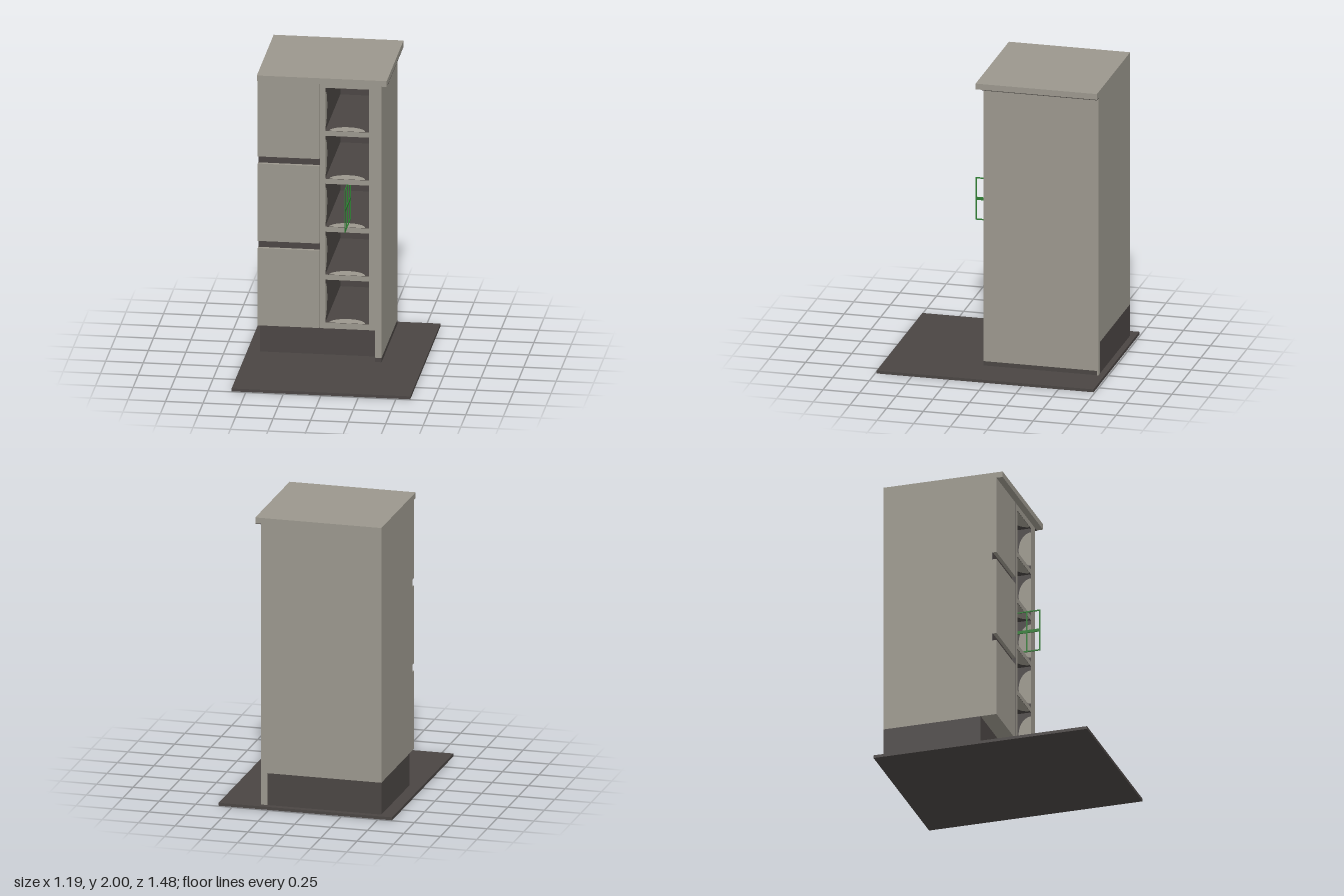
import * as THREE from 'three';

export function createModel() {
  const model = new THREE.Group();
  const grey = new THREE.MeshStandardMaterial({ color: 0x9b978d });
  const dark = new THREE.MeshStandardMaterial({ color: 0x4a4543 });
  const green = new THREE.MeshStandardMaterial({ color: 0x2e7d32 });
  grey.name = 'warmGrey';
  dark.name = 'charcoal';
  green.name = 'rackGreen';

  // Box given by its lower and upper limits on each axis
  const box = (name, mat, [x0, x1], [y0, y1], [z0, z1], parent = model) => {
    const mesh = new THREE.Mesh(new THREE.BoxGeometry(x1 - x0, y1 - y0, z1 - z0), mat);
    mesh.position.set((x0 + x1) / 2, (y0 + y1) / 2, (z0 + z1) / 2);
    mesh.name = name;
    parent.add(mesh);
    return mesh;
  };

  const front = 0.085, back = -0.7;

  // Floor, plinth, worktop and outer panels
  box('floorPlate', dark, [-0.595, 0.595], [0, 0.02], [-0.74, 0.74]);
  box('plinth', dark, [-0.51, 0.27], [0.02, 0.24], [back, -0.025]);
  box('worktop', grey, [-0.51, 0.355], [1.96, 2], [back, 0.128]);
  box('worktopUnderside', dark, [0.315, 0.355], [1.956, 1.96], [back, front]);
  box('sidePanel', grey, [0.27, 0.315], [0.05, 1.96], [back, front]);
  box('sidePanelFoot', dark, [0.27, 0.315], [0.02, 0.05], [-0.69, front]);
  box('sidePanelRearFoot', grey, [0.27, 0.315], [0.02, 0.05], [back, -0.69]);
  box('backPanel', grey, [-0.51, 0.27], [0.24, 1.96], [back, -0.66]);

  // Drawer stack: carcass, three fronts and the dark grip recesses between
  box('drawerCarcass', grey, [-0.51, -0.1], [0.24, 1.96], [-0.66, 0.055]);
  [[0.24, 0.78], [0.83, 1.37], [1.42, 1.96]].forEach((y) =>
    box('drawerFront', grey, [-0.51, -0.1], y, [0.055, front]));
  [[0.78, 0.83], [1.37, 1.42]].forEach((y) =>
    box('gripRecess', dark, [-0.508, -0.097], y, [0.055, 0.06]));

  // Open column: one frame with five openings, grey face and dark interior
  const rect = (path, x0, x1, y0, y1) =>
    path.moveTo(x0, y0).lineTo(x1, y0).lineTo(x1, y1).lineTo(x0, y1).closePath();
  const frame = new THREE.Shape();
  rect(frame, -0.095, 0.27, 0.24, 1.96);
  const centres = [0, 1, 2, 3, 4].map((i) => 0.43 + i * 0.335);
  const hx = 0.145, hy = 0.15, cx = 0.085;
  for (const y of centres) {
    const hole = new THREE.Path();
    rect(hole, cx - hx, cx + hx, y - hy, y + hy);
    frame.holes.push(hole);
  }
  const column = new THREE.Mesh(
    new THREE.ExtrudeGeometry(frame, { depth: front + 0.66, bevelEnabled: false }), [grey, dark]);
  column.position.z = -0.66;
  column.name = 'openColumn';
  model.add(column);
  box('nicheBack', dark, [-0.07, 0.24], [0.26, 1.94], [-0.66, -0.655]);

  // Pale half-round patches just inside each opening, on all four walls
  const patchGeo = new THREE.CircleGeometry(1, 24, 0, Math.PI);
  patchGeo.scale(0.12, 0.085, 1);
  patchGeo.rotateX(-Math.PI / 2);
  for (const y of centres) {
    for (let k = 0; k < 4; k++) {
      const wall = new THREE.Group();
      const patch = new THREE.Mesh(patchGeo, grey);
      patch.position.y = -(k % 2 ? hx : hy) + 0.002;
      wall.add(patch);
      wall.rotation.z = k * Math.PI / 2;
      wall.position.set(cx, y, front);
      wall.name = 'nichePatch';
      model.add(wall);
    }
  }

  // Flat wire rack standing out of the middle opening
  const rack = new THREE.Group();
  rack.name = 'wireRack';
  model.add(rack);
  const rx = [cx - 0.003, cx + 0.003], z0 = -0.085, z1 = 0.198;
  for (const z of [-0.081, 0.011, 0.103, 0.194])
    box('rackUpright', green, rx, [0.953, 1.248], [z - 0.004, z + 0.004], rack);
  for (const [y, h] of [[0.956, 0.004], [1.101, 0.01], [1.245, 0.004]])
    box('rackRail', green, rx, [y - h, y + h], [z0, z1], rack);

  return model;
}
